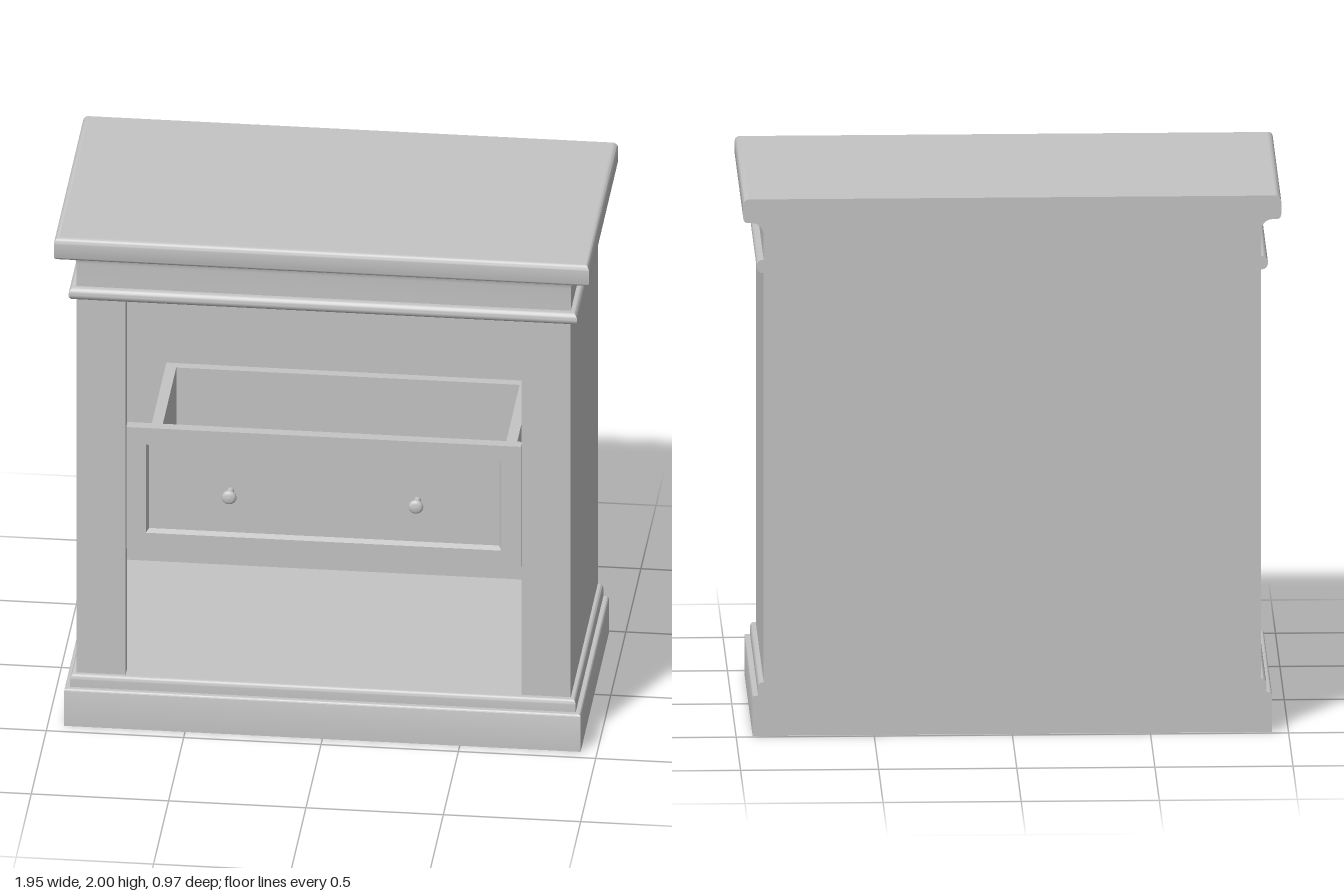
import * as THREE from 'three';
import { toCreasedNormals } from 'three/addons/utils/BufferGeometryUtils.js';

const HALF = 0.9, FRONT = 0.415, BACK = -0.485;

// Points of an arc in (offset, height), angles in degrees
function arc(cx, cy, rx, ry, from, to, n = 8) {
  return Array.from({ length: n + 1 }, (_, i) => {
    const a = THREE.MathUtils.degToRad(from + (to - from) * i / n);
    return [cx + rx * Math.cos(a), cy + ry * Math.sin(a)];
  });
}

// Moulding profiles: [offset outward from the carcass, height], bottom to top
const baseProfile = [
  [0.04, 0], ...arc(0.032, 0.142, 0.008, 0.008, 0, 90, 3),
  [0.02, 0.15], [0.02, 0.18], ...arc(0.005, 0.18, 0.015, 0.02, 0, 90, 6), [0, 0.2],
];
const corniceProfile = [
  [0, 1.725], ...arc(0.003, 1.75, 0.023, 0.025, -90, 90, 12), [0, 1.775],
  ...arc(0.042, 1.865, 0.042, 0.047, 180, 90, 8), [0.058, 1.912],
  ...arc(0.058, 1.93, 0.016, 0.018, -90, 0, 5), ...arc(0.054, 1.978, 0.02, 0.022, 0, 90, 6),
];

// Sweep a profile around side, front and side with mitred corners
function sweepAround(profile) {
  const pos = [];
  const ring = ([o, y]) => [
    [HALF + o, y, BACK], [HALF + o, y, FRONT + o], [-HALF - o, y, FRONT + o], [-HALF - o, y, BACK],
  ];
  for (let i = 0; i < profile.length - 1; i++) {
    const a = ring(profile[i]), b = ring(profile[i + 1]);
    for (let k = 0; k < 3; k++) {
      pos.push(...a[k], ...b[k + 1], ...a[k + 1], ...a[k], ...b[k], ...b[k + 1]);
    }
  }
  const g = new THREE.BufferGeometry();
  g.setAttribute('position', new THREE.Float32BufferAttribute(pos, 3));
  return toCreasedNormals(g, 0.7);
}

export function createModel() {
  const root = new THREE.Group();
  root.name = 'nightstand';
  const paint = new THREE.MeshStandardMaterial({ color: 0xc4c4c4, side: THREE.DoubleSide });
  paint.name = 'grey paint';

  function add(name, geometry, x = 0, y = 0, z = 0, parent = root) {
    const m = new THREE.Mesh(geometry, paint);
    m.name = name;
    m.position.set(x, y, z);
    parent.add(m);
    return m;
  }
  // Box given by its limits
  function box(name, x0, x1, y0, y1, z0, z1, parent = root) {
    return add(name, new THREE.BoxGeometry(x1 - x0, y1 - y0, z1 - z0),
      (x0 + x1) / 2, (y0 + y1) / 2, (z0 + z1) / 2, parent);
  }
  // Horizontal sheet reaching a given offset beyond the carcass
  function sheet(name, y, o) {
    const g = new THREE.PlaneGeometry(2 * (HALF + o), FRONT + o - BACK).rotateX(-Math.PI / 2);
    return add(name, g, 0, y, (FRONT + o + BACK) / 2);
  }

  // Hollow plinth and cornice
  add('baseMoulding', sweepAround(baseProfile));
  add('cornice', sweepAround(corniceProfile));
  sheet('floor', 0.2, 0);
  sheet('ceiling', 1.726, 0);
  sheet('tabletop', 2, 0.054);

  // Back sheet following the moulding outline
  const side = [...baseProfile, ...corniceProfile];
  const outline = [
    ...side.map(([o, y]) => new THREE.Vector2(HALF + o, y)),
    ...side.map(([o, y]) => new THREE.Vector2(-HALF - o, y)).reverse(),
  ];
  add('backPanel', new THREE.ShapeGeometry(new THREE.Shape(outline)).rotateY(Math.PI), 0, 0, BACK);

  // Side sheets and front stiles
  for (const s of [1, -1]) {
    const label = s > 0 ? 'left' : 'right';
    add(label + 'Side', new THREE.PlaneGeometry(FRONT - BACK, 1.525).rotateY(s * Math.PI / 2),
      s * HALF, 0.9625, (FRONT + BACK) / 2);
    const x = s * 0.81;
    box(label + 'Stile', x - 0.0895, x + 0.0895, 0.2, 1.725, 0.375, FRONT);
  }

  // Drawer
  const drawer = new THREE.Group();
  drawer.name = 'drawer';
  root.add(drawer);
  const rect = (T, w, y0, y1) => new T([
    new THREE.Vector2(-w, y0), new THREE.Vector2(w, y0), new THREE.Vector2(w, y1), new THREE.Vector2(-w, y1),
  ]);
  const face = rect(THREE.Shape, 0.718, 0.715, 1.21);
  face.holes.push(rect(THREE.Path, 0.647, 0.783, 1.142));
  add('drawerFrame', new THREE.ExtrudeGeometry(face, { depth: 0.04, bevelEnabled: false }),
    0, 0, FRONT - 0.04, drawer);

  // Sloped border down to the recessed panel
  const bevel = new THREE.CylinderGeometry(Math.SQRT1_2, Math.SQRT1_2, 1, 4, 1, true).rotateY(Math.PI / 4);
  bevel.rotateX(Math.PI / 2);
  const p = bevel.attributes.position;
  for (let i = 0; i < p.count; i++) {
    const outer = p.getZ(i) > 0;
    p.setXYZ(i, Math.sign(p.getX(i)) * (outer ? 0.647 : 0.637),
      0.9625 + Math.sign(p.getY(i)) * (outer ? 0.1795 : 0.1695), outer ? FRONT : FRONT - 0.02);
  }
  // Faces turn inward, so reverse each triangle
  const idx = bevel.index.array;
  for (let i = 0; i < idx.length; i += 3) [idx[i], idx[i + 1]] = [idx[i + 1], idx[i]];
  add('panelBevel', toCreasedNormals(bevel, 0.5), 0, 0, 0, drawer);
  box('drawerPanel', -0.64, 0.64, 0.79, 1.135, 0.378, FRONT - 0.02, drawer);

  // Drawer box
  for (const s of [1, -1]) {
    box('drawerSide', s * 0.645 - 0.02, s * 0.645 + 0.02, 0.76, 1.04, -0.43, 0.375, drawer);
  }
  box('drawerBack', -0.625, 0.625, 0.76, 1.04, -0.43, -0.395, drawer);
  box('drawerBottom', -0.625, 0.625, 0.76, 0.78, -0.395, 0.375, drawer);

  // Round knobs
  const knobProfile = [[0.012, 0], [0.01, 0.042], ...arc(0.012, 0.055, 0.015, 0.013, -90, 90, 8), [0, 0.07]]
    .map(([r, h]) => new THREE.Vector2(r, h));
  const knob = new THREE.LatheGeometry(knobProfile, 24).rotateX(Math.PI / 2);
  for (const s of [1, -1]) add('knob', knob, s * 0.34, 0.963, FRONT - 0.02, drawer);

  return root;
}
